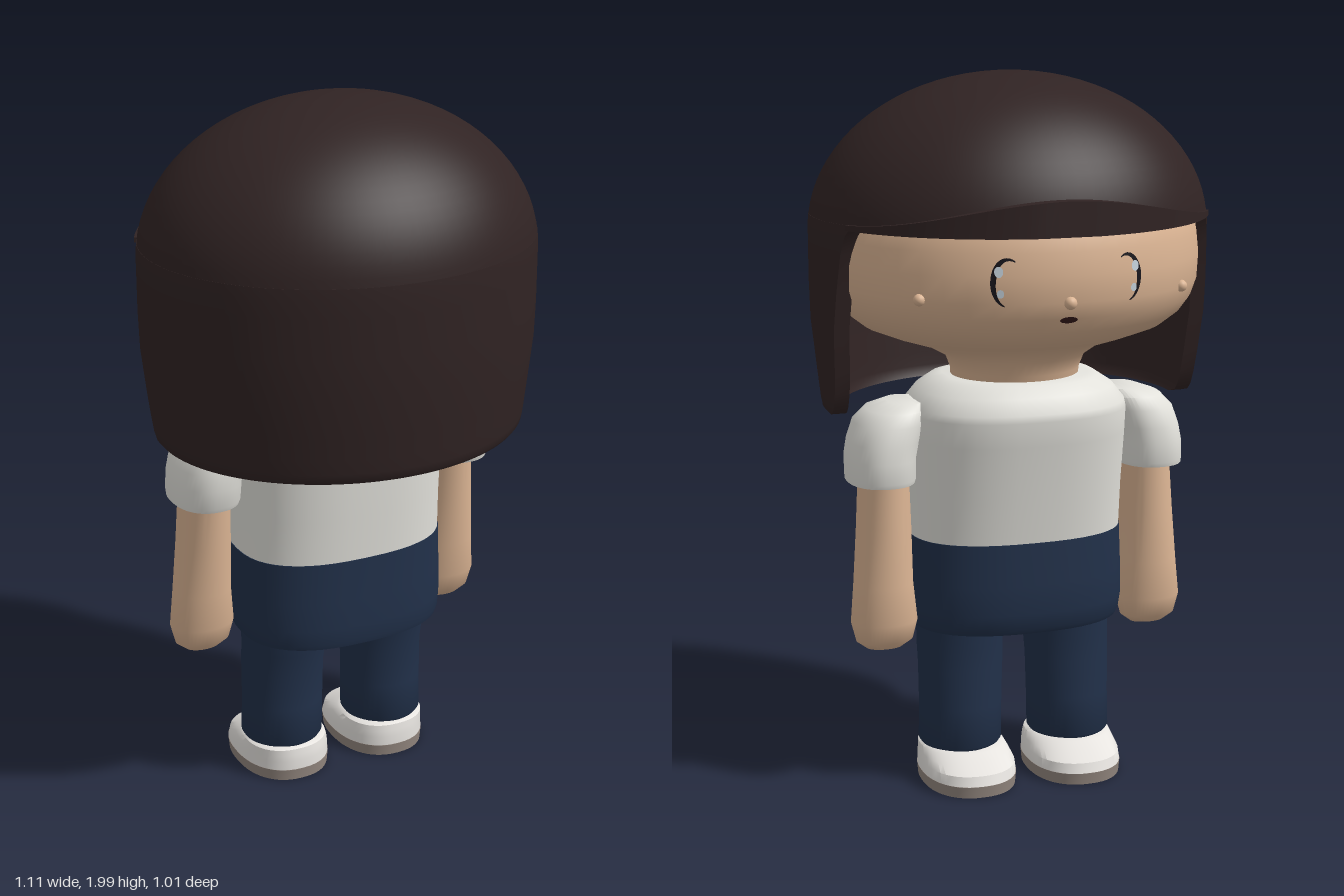
import * as THREE from 'three';
import { toCreasedNormals } from 'three/addons/utils/BufferGeometryUtils.js';

const material = (name, color, side = THREE.FrontSide) => {
  const m = new THREE.MeshStandardMaterial({ color, side });
  m.name = name;
  return m;
};

// Skin a stack of equal-length loops (bottom to top), closing both ends.
function loft(loops, crease = 0.7) {
  const n = loops[0].length, index = [];
  for (let i = 0; i < loops.length - 1; i++) {
    for (let j = 0; j < n; j++) {
      const k = (j + 1) % n, a = i * n + j, b = i * n + k;
      index.push(a, a + n, b, b, a + n, b + n);
    }
  }
  const top = (loops.length - 1) * n;
  for (let j = 0; j < n / 2 - 1; j++) {
    const p = j, q = j + 1, r = n - 2 - j, s = n - 1 - j;
    index.push(p, q, s, q, r, s);
    index.push(top + p, top + s, top + q, top + q, top + s, top + r);
  }
  const geo = new THREE.BufferGeometry();
  geo.setAttribute('position', new THREE.Float32BufferAttribute(loops.flat(2), 3));
  geo.setIndex(index);
  return toCreasedNormals(geo, crease);
}

// Rounded cross-section; row = [y, half width, front z, back z, centre x].
function ring([y, rx, front, back, cx = 0], side = 1, power = 2, n = 48) {
  const bend = (v) => Math.sign(v) * Math.abs(v) ** (2 / power);
  return Array.from({ length: n }, (_, j) => {
    const t = (j / n) * Math.PI * 2;
    return [cx * side + rx * bend(Math.cos(t)), y, (front + back) / 2 + ((back - front) / 2) * bend(Math.sin(t))];
  });
}
const body = (rows, { side = 1, power = 2, crease = 0.7 } = {}) =>
  loft(rows.map((r) => ring(r, side, power)), crease);

const HEAD = [
  [1.1, 0.18, -0.18, 0.13], [1.18, 0.18, -0.195, 0.13], [1.22, 0.195, -0.215, 0.15],
  [1.25, 0.25, -0.24, 0.2], [1.28, 0.345, -0.325, 0.29], [1.31, 0.42, -0.402, 0.36],
  [1.345, 0.465, -0.445, 0.4], [1.385, 0.492, -0.473, 0.42], [1.43, 0.507, -0.489, 0.435],
  [1.5, 0.512, -0.49, 0.44], [1.56, 0.507, -0.482, 0.44], [1.61, 0.5, -0.468, 0.43],
  [1.7, 0.44, -0.41, 0.39], [1.78, 0.3, -0.28, 0.27],
];

// Depth of the face surface at a given x and y.
function faceZ(x, y) {
  const i = Math.max(1, HEAD.findIndex((r) => r[0] >= y));
  const a = HEAD[i - 1], b = HEAD[i], f = (y - a[0]) / (b[0] - a[0]);
  const [rx, front, back] = [1, 2, 3].map((k) => a[k] + (b[k] - a[k]) * f);
  return (front + back) / 2 - ((back - front) / 2) * Math.sqrt(Math.max(0, 1 - (x / rx) ** 2));
}

// Lay a flat outline onto the face.
function decal(points, lift) {
  const geo = new THREE.ShapeGeometry(new THREE.Shape(points));
  const p = geo.attributes.position;
  for (let i = 0; i < p.count; i++) p.setZ(i, faceZ(p.getX(i), p.getY(i)) - lift);
  geo.computeVertexNormals();
  return geo;
}
const oval = (x, y, rx, ry) => Array.from({ length: 20 }, (_, i) => {
  const t = (i / 20) * Math.PI * 2;
  return new THREE.Vector2(x + rx * Math.cos(t), y + ry * Math.sin(t));
});

// Curved hair wall: an outer arc followed by the inner arc reversed.
const HAIR_Z = 0.02;
function wall(outer, inner, steps = 48) {
  const pts = [];
  for (let i = 0; i <= steps; i++) pts.push(outer(i / steps));
  for (let i = steps; i >= 0; i--) pts.push(inner(i / steps));
  return pts;
}

export function createModel() {
  const model = new THREE.Group();
  model.name = 'figure';
  const hair = material('dark brown hair', 0x302323);
  const skin = material('skin', 0xdcb594);
  const shirt = material('off-white cloth', 0xe2e1db);
  const navy = material('navy cloth', 0x213049);
  const white = material('shoe white', 0xe6e3df);
  const sole = material('taupe sole', 0x92867e);
  const ink = material('eye black', 0x17141a, THREE.DoubleSide);
  const shine = material('eye highlight', 0xc3d0da, THREE.DoubleSide);
  const lips = material('mouth dark', 0x35191a, THREE.DoubleSide);
  const add = (name, geo, mat) => {
    const mesh = new THREE.Mesh(geo, mat);
    mesh.name = name;
    model.add(mesh);
    return mesh;
  };

  // Head with neck
  add('head', body(HEAD, { crease: 1 }), skin);

  // Hair dome
  const dome = [];
  for (let i = 0; i <= 20; i++) {
    const a = 0.085 + (i / 20) * (Math.PI / 2 - 0.09), c = Math.cos(a);
    dome.push([1.565 + 0.422 * Math.sin(a), 0.555 * c, HAIR_Z - 0.485 * c, HAIR_Z + 0.485 * c]);
  }
  add('hairDome', loft(dome.map((r) => ring(r, 1, 2, 80))), hair);

  // Long hair around back and sides; rows are [y, scale, front edge z]
  const curtain = [
    [1.07, 0.93, 0], [1.08, 0.945, -0.035], [1.1, 0.952, -0.055], [1.14, 0.96, -0.073],
    [1.2, 0.972, -0.09], [1.32, 0.995, -0.113], [1.42, 1, -0.132], [1.53, 1, -0.152],
    [1.58, 1, -0.17], [1.61, 0.995, -0.19],
  ].map(([y, s, edge]) => {
    const arc = (rx, rz) => (u) => {
      const t0 = Math.asin((edge - HAIR_Z) / rz), t = t0 + u * (Math.PI - 2 * t0);
      return [rx * Math.cos(t), y, HAIR_Z + rz * Math.sin(t)];
    };
    return wall(arc(0.555 * s, 0.485 * s), arc(0.555 * s - 0.04, 0.485 * s - 0.04), 64);
  });
  add('longHair', loft(curtain), hair);

  // Fringe, tallest at the middle and flattened across the brow
  const fringe = [0, 1].map((level) => {
    const arc = (rx, rz) => (u) => {
      const t = Math.PI + 0.4 + u * (Math.PI - 0.8);
      const h = 0.012 + 0.08 * Math.sin(t) ** 4;
      return [rx * Math.cos(t), 1.597 + level * h, Math.max(-0.482, HAIR_Z + rz * Math.sin(t))];
    };
    return wall(arc(0.556, 0.507), arc(0.5, 0.43));
  });
  add('fringe', loft(fringe), hair);

  // Nose and mouth
  const bump = (name, x, y, r) => {
    const mesh = add(name, new THREE.SphereGeometry(r, 16, 12), skin);
    mesh.position.set(x, y, faceZ(x, y));
  };
  bump('nose', 0, 1.43, 0.017);
  add('mouth', decal(oval(0, 1.384, 0.024, 0.009), 0.005), lips);

  // Torso and shorts
  add('shirt', body([
    [0.72, 0.302, -0.226, 0.205], [0.85, 0.303, -0.244, 0.213], [1, 0.308, -0.266, 0.222],
    [1.07, 0.308, -0.278, 0.224], [1.09, 0.303, -0.276, 0.22], [1.13, 0.272, -0.245, 0.19],
    [1.158, 0.23, -0.214, 0.16], [1.165, 0.2, -0.2, 0.14],
  ], { power: 2.5 }), shirt);
  add('shortsTop', body([
    [0.46, 0.297, -0.223, 0.212], [0.475, 0.303, -0.232, 0.216], [0.52, 0.308, -0.24, 0.217],
    [0.6, 0.308, -0.236, 0.212], [0.72, 0.304, -0.228, 0.207],
  ], { power: 2.5 }), navy);

  for (const side of [1, -1]) {
    const label = side > 0 ? 'left' : 'right';
    const limb = (name, rows, mat, power = 2) => add(label + name, body(rows, { side, power }), mat);

    // Arm and sleeve
    limb('Arm', [
      [0.412, 0.05, -0.095, -0.035, 0.392], [0.435, 0.08, -0.122, -0.012, 0.392],
      [0.49, 0.094, -0.137, 0.005, 0.392], [0.6, 0.083, -0.14, 0.018, 0.392],
      [0.75, 0.076, -0.139, 0.032, 0.387], [0.95, 0.067, -0.135, 0.047, 0.383],
    ], skin);
    limb('Sleeve', [
      [0.888, 0.092, -0.162, 0.085, 0.392], [0.9, 0.094, -0.166, 0.09, 0.391],
      [0.955, 0.094, -0.166, 0.1, 0.39], [1, 0.095, -0.162, 0.1, 0.381],
      [1.05, 0.094, -0.152, 0.094, 0.365], [1.085, 0.08, -0.135, 0.075, 0.345],
      [1.105, 0.05, -0.1, 0.04, 0.32],
    ], shirt, 2.3);

    // Trouser leg and shoe
    limb('Leg', [
      [0.098, 0.11, -0.14, 0.085, 0.163], [0.11, 0.118, -0.147, 0.092, 0.163],
      [0.22, 0.118, -0.142, 0.09, 0.161], [0.33, 0.121, -0.135, 0.085, 0.16],
      [0.4, 0.123, -0.135, 0.103, 0.159], [0.5, 0.123, -0.14, 0.11, 0.158],
    ], navy);
    limb('Sole', [
      [0, 0.131, -0.242, 0.104, 0.157], [0.033, 0.134, -0.245, 0.106, 0.157],
    ], sole, 2.3);
    limb('Shoe', [
      [0.033, 0.133, -0.244, 0.105, 0.157], [0.06, 0.131, -0.234, 0.104, 0.157],
      [0.078, 0.126, -0.19, 0.101, 0.158], [0.095, 0.12, -0.152, 0.097, 0.16],
      [0.102, 0.108, -0.138, 0.085, 0.162],
    ], white, 2.3);

    // Eye: tapered outline open toward the nose, with two highlights
    const cx = 0.163, cy = 1.487, outerEdge = [], innerEdge = [];
    for (let i = 0; i <= 20; i++) {
      const t = 2.1 - (i / 20) * 3.5, w = 0.003 + 0.011 * Math.sin((i / 20) * Math.PI);
      const at = (d) => new THREE.Vector2(side * (cx + (0.042 + d) * Math.cos(t)), cy + (0.063 + d) * Math.sin(t));
      outerEdge.push(at(0));
      innerEdge.unshift(at(-w));
    }
    add(label + 'EyeOutline', decal([...outerEdge, ...innerEdge], 0.005), ink);
    add(label + 'UpperHighlight', decal(oval(side * (cx + 0.022), cy + 0.028, 0.011, 0.014), 0.008), shine);
    add(label + 'LowerHighlight', decal(oval(side * (cx + 0.018), cy - 0.028, 0.009, 0.011), 0.008), shine);
    bump(label + 'CheekBump', side * 0.362, 1.435, 0.016);
  }
  return model;
}
